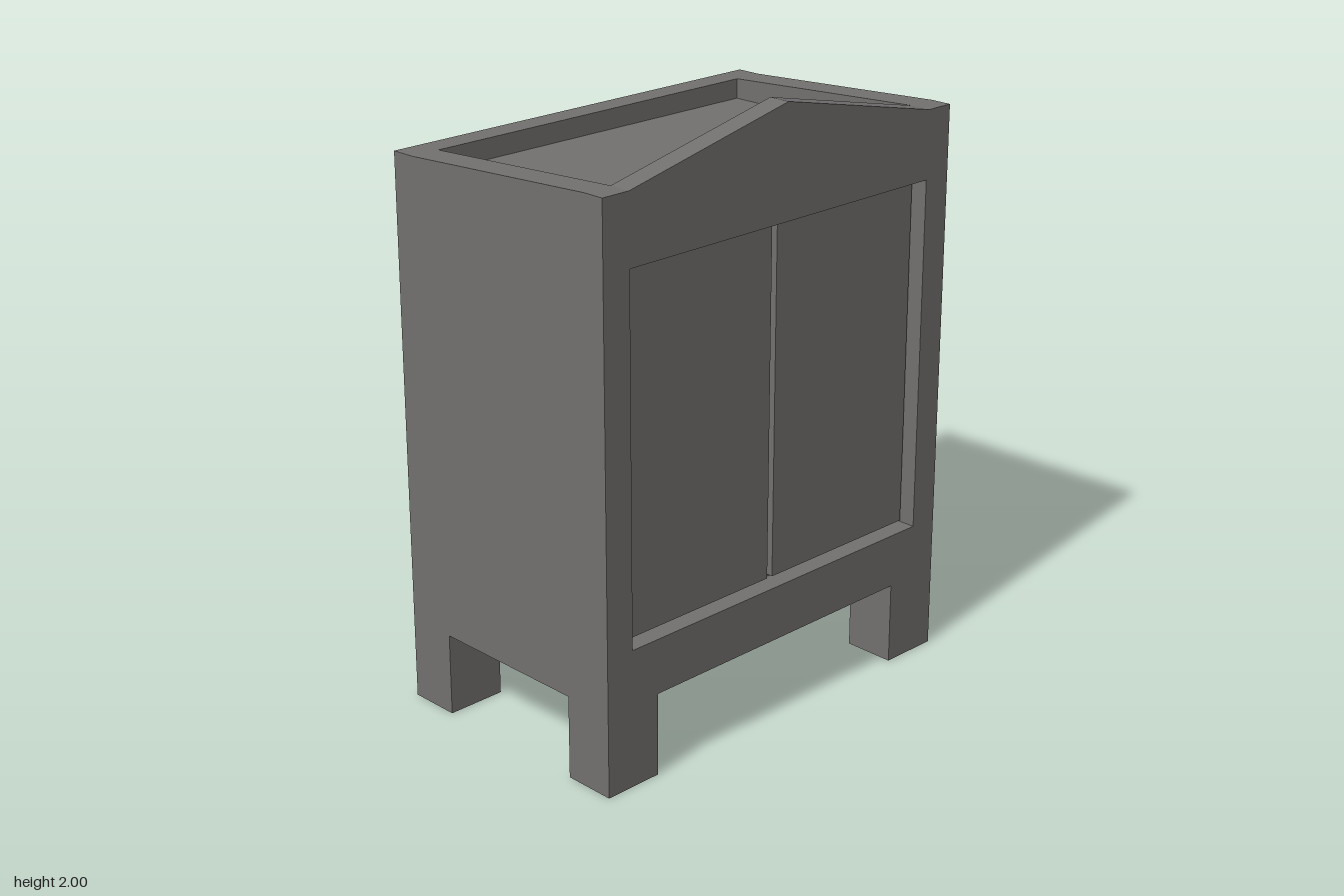
import * as THREE from 'three';

const W = 0.735, D = 0.455;            // half width, half depth
const BASE = 0.275, RIM = 1.862, BACK = 1.816;
const IN_X = 0.635, IN_BACK = -0.37, IN_FRONT = 0.382; // inside of the top tray

export function createModel() {
  const group = new THREE.Group();
  group.name = 'cabinet';
  const grey = new THREE.MeshStandardMaterial({ color: 0x737170 });
  grey.name = 'warm grey';

  const add = (name, geometry) => {
    const mesh = new THREE.Mesh(geometry, grey);
    mesh.name = name;
    group.add(mesh);
    return mesh;
  };
  // Box given by its two opposite corners
  const box = (name, x0, x1, y0, y1, z0, z1) =>
    add(name, new THREE.BoxGeometry(x1 - x0, y1 - y0, z1 - z0))
      .position.set((x0 + x1) / 2, (y0 + y1) / 2, (z0 + z1) / 2);
  const points = (list) => list.map(([x, y]) => new THREE.Vector2(x, y));

  // Front frame with gabled top and door opening
  const front = new THREE.Shape(points([
    [-W, BASE], [W, BASE], [W, RIM], [IN_X, RIM], [0, 2], [-IN_X, RIM], [-W, RIM],
  ]));
  front.holes.push(new THREE.Path(points([
    [-0.634, 0.457], [-0.634, 1.637], [0.634, 1.637], [0.634, 0.457],
  ])));
  add('frontFrame', new THREE.ExtrudeGeometry(front, { depth: D - IN_FRONT, bevelEnabled: false }))
    .position.z = IN_FRONT;

  // Side walls, sloping down towards the back (profile drawn as -z, y)
  const side = new THREE.Shape(points([
    [-IN_FRONT, BASE], [D, BASE], [D, BACK], [-IN_BACK, BACK], [-IN_FRONT, RIM],
  ]));
  for (const [name, x] of [['leftSide', IN_X], ['rightSide', -W]]) {
    const geometry = new THREE.ExtrudeGeometry(side, { depth: W - IN_X, bevelEnabled: false });
    geometry.rotateY(Math.PI / 2);
    add(name, geometry).position.x = x;
  }

  // Back wall and the core that forms the tray floor and underside
  box('backWall', -IN_X, IN_X, BASE, BACK, -D, IN_BACK);
  box('core', -IN_X, IN_X, BASE, 1.75, IN_BACK, IN_FRONT);

  // Two recessed doors with a thin gap around them
  box('rightDoor', -0.623, -0.011, 0.467, 1.627, IN_FRONT, 0.407);
  box('leftDoor', 0.011, 0.623, 0.467, 1.627, IN_FRONT, 0.407);

  // Four corner legs
  for (const sx of [-1, 1]) {
    for (const sz of [-1, 1]) {
      const name = (sz > 0 ? 'front' : 'back') + (sx > 0 ? 'Left' : 'Right') + 'Leg';
      add(name, new THREE.BoxGeometry(0.203, BASE, 0.175))
        .position.set(sx * (W - 0.1015), BASE / 2, sz * (D - 0.0875));
    }
  }
  return group;
}
